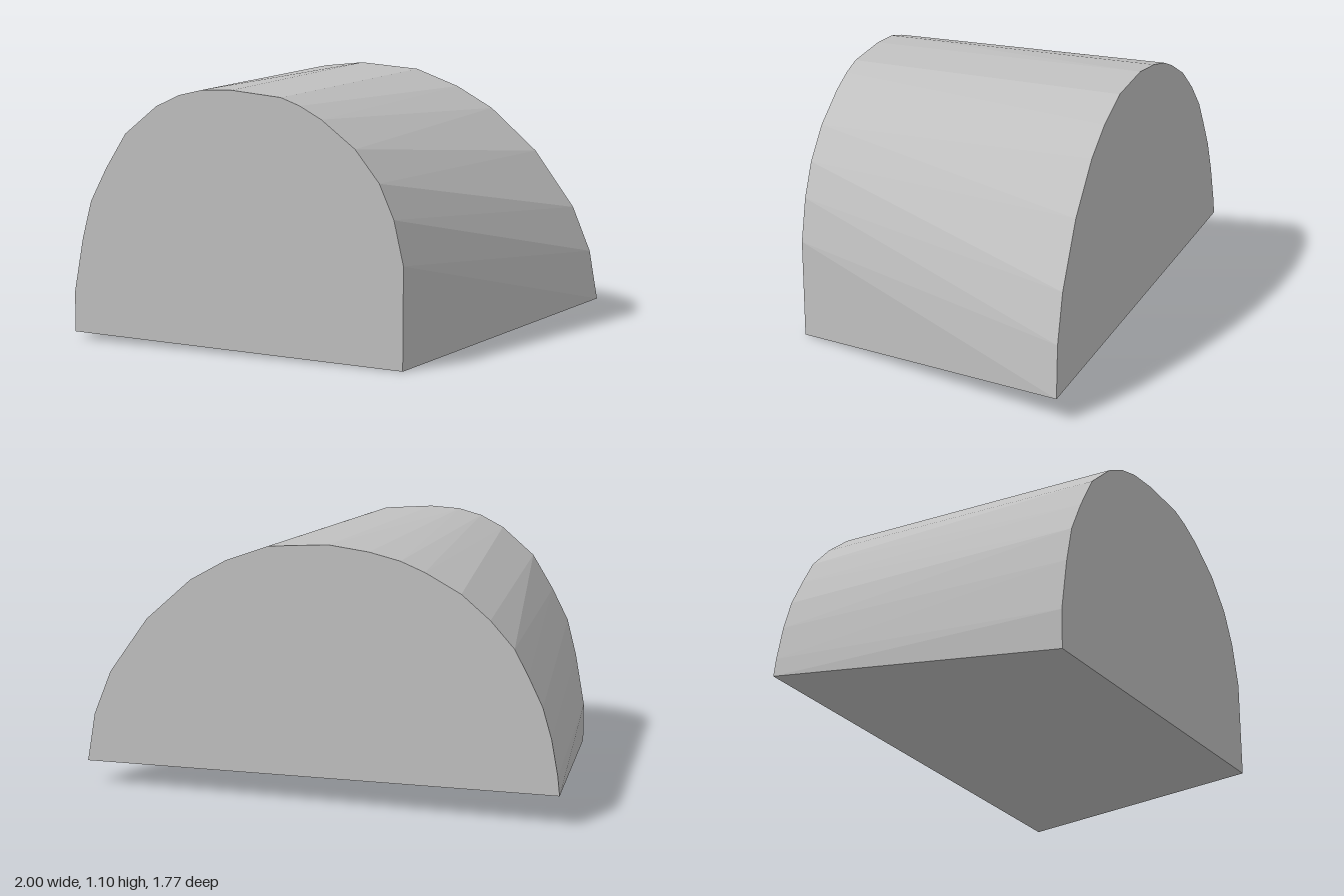
import * as THREE from 'three';
import { ConvexGeometry } from 'three/addons/geometries/ConvexGeometry.js';

// Outline of each end as x, y pairs, from the right base corner over the top
const frontArch = [
  [-0.43, 0.03], [-0.43, 0.2], [-0.39, 0.43], [-0.35, 0.59], [-0.28, 0.73],
  [-0.19, 0.88], [-0.05, 1.0], [0.05, 1.05], [0.15, 1.075], [0.28, 1.08],
  [0.49, 1.06], [0.57, 1.03], [0.66, 0.98], [0.8, 0.87], [0.9, 0.74],
  [0.96, 0.6], [1, 0.42], [1, 0],
];
const backArch = [
  [-1, 0.13], [-0.99, 0.21], [-0.96, 0.36], [-0.92, 0.49], [-0.86, 0.61],
  [-0.8, 0.72], [-0.7, 0.83], [-0.58, 0.93], [-0.43, 1.01], [-0.33, 1.05],
  [-0.2, 1.08], [-0.03, 1.1], [0.22, 1.08], [0.4, 1.01], [0.55, 0.92],
  [0.74, 0.74], [0.9, 0.5], [0.97, 0.31], [1, 0.1],
];

// Each end lies in its own slanted plane
const frontZ = (x) => 0.88 - (x + 0.43) * 0.294;
const backZ = (x, y) => -0.25 - (x + 1) * 0.32 + 0.045 * (y - 0.13 + 0.015 * (x + 1));

export function createModel() {
  const group = new THREE.Group();
  const grey = new THREE.MeshStandardMaterial({ color: 0xc0c0c0 });
  grey.name = 'stone grey';

  // Faceted skin stretched between the two arched ends
  const points = [
    ...frontArch.map(([x, y]) => new THREE.Vector3(x, y, frontZ(x))),
    ...backArch.map(([x, y]) => new THREE.Vector3(x, y, backZ(x, y))),
  ];
  const block = new THREE.Mesh(new ConvexGeometry(points), grey);
  block.name = 'archedBlock';
  group.add(block);
  return group;
}
